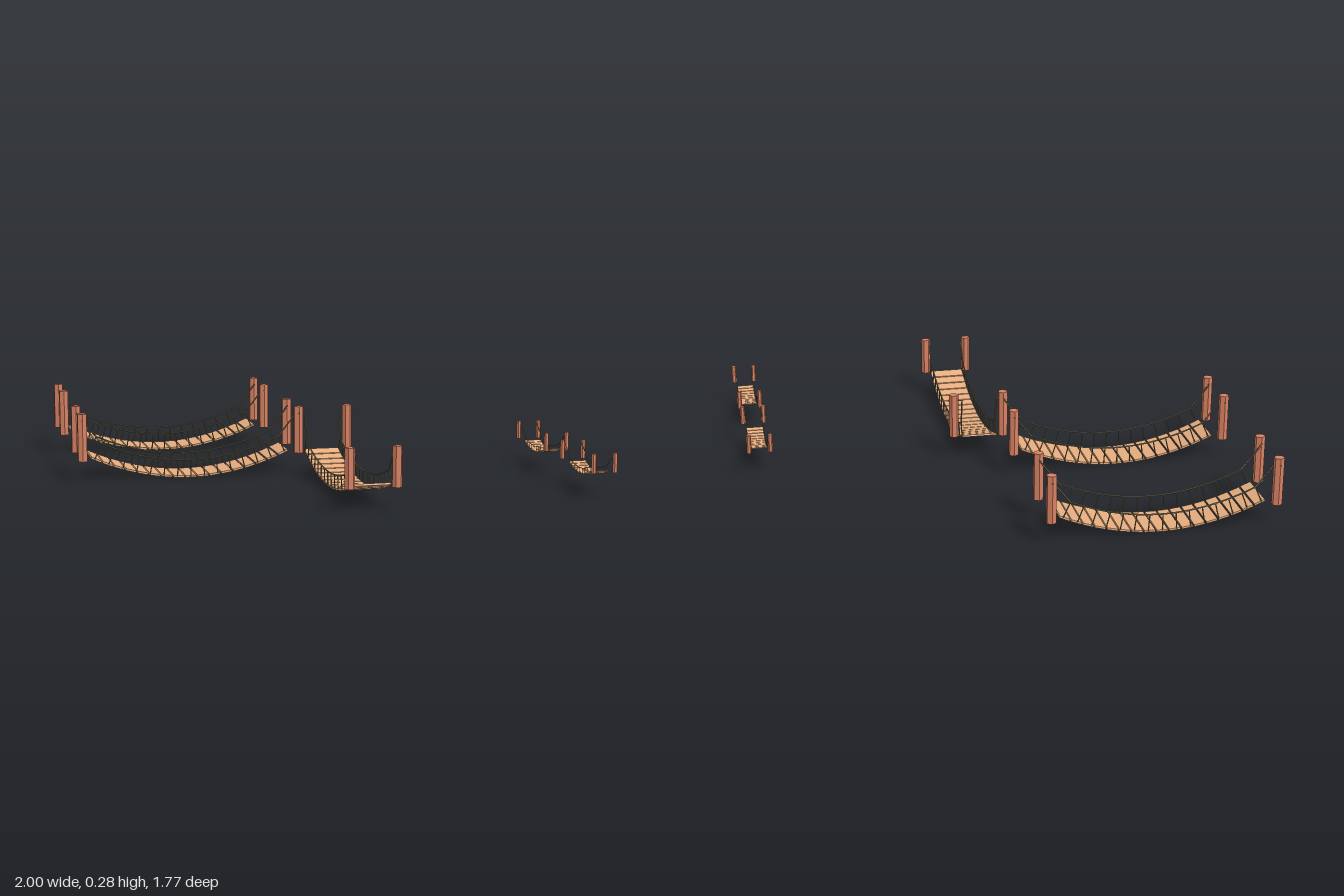
import * as THREE from 'three';

const mat = (name, color) => {
  const m = new THREE.MeshStandardMaterial({ color });
  m.name = name;
  return m;
};
const UP = new THREE.Vector3(0, 1, 0);
const V = (x, y, z) => new THREE.Vector3(x, y, z);

export function createModel() {
  const plankWood = mat('plank wood', 0xe6ad7f);
  const postWood = mat('post wood', 0xd68163);
  const ropeFibre = mat('rope', 0x7c7a58);
  const model = new THREE.Group();
  model.name = 'ropeBridges';

  const add = (parent, name, geometry, material) => {
    const mesh = new THREE.Mesh(geometry, material);
    mesh.name = name;
    parent.add(mesh);
    return mesh;
  };

  // Straight piece of rope between two points
  const strand = (parent, name, a, b, r) => {
    const d = b.clone().sub(a);
    const mesh = add(parent, name, new THREE.CylinderGeometry(r, r, d.length(), 5), ropeFibre);
    mesh.position.copy(a).addScaledVector(d, 0.5);
    mesh.quaternion.setFromUnitVectors(UP, d.normalize());
  };

  // One bridge runs along its local x; its deck sags as a parabola
  function bridge(name, o) {
    const g = new THREE.Group();
    g.name = name;
    g.position.set(o.x, 0, o.z);
    g.rotation.y = o.turn || 0;
    model.add(g);

    const point = (t, z, lift) => {
      const x = t * o.half;
      const slope = (2 * (o.high - o.low) * t) / o.half;
      const n = V(-slope, 1, 0).normalize();
      return V(x, o.low + (o.high - o.low) * t * t, z).addScaledVector(n, lift);
    };
    const sagging = (z, lift, end) => new THREE.CatmullRomCurve3(
      Array.from({ length: 17 }, (_, i) => point((i / 8 - 1) * end, z, lift)));

    // Planks, evenly spaced along the curve
    const deck = sagging(0, 0, 1);
    const pitch = deck.getLength() / o.planks;
    const plank = new THREE.BoxGeometry(pitch * o.fill, o.thick, o.width);
    for (let i = 0; i < o.planks; i++) {
      const u = (i + 0.5) / o.planks;
      const tan = deck.getTangentAt(u);
      const mesh = add(g, 'plank', plank, plankWood);
      mesh.position.copy(deck.getPointAt(u));
      mesh.rotation.z = Math.atan2(tan.y, tan.x);
    }

    // Hand ropes and hangers on both sides
    for (const side of [-1, 1]) {
      const z = side * o.width / 2;
      add(g, 'handRope', new THREE.TubeGeometry(sagging(z, o.rail, 0.96), 32, o.rope, 5), ropeFibre);
      for (let i = 0; i < o.hangers; i++) {
        const t = ((2 * i) / (o.hangers - 1) - 1) * 0.96;
        strand(g, 'hanger', point(t, z, 0), point(t, z, o.rail), o.rope * 0.8);
      }
    }

    // Six-sided posts; a tie passes through each and runs down to the hand rope
    for (const [px, pz, bottom, top, shared] of o.posts) {
      const end = Math.sign(px), side = Math.sign(pz);
      const tieY = top - o.tie;
      if (!shared) {
        const geo = new THREE.CylinderGeometry(o.radius, o.radius, top - bottom, 6).toNonIndexed();
        geo.computeVertexNormals();
        add(g, 'post', geo, postWood).position.set(px, (top + bottom) / 2, pz);
      }
      const corner = V(px, tieY, side * o.width / 2);
      strand(g, 'postTie', V(px, tieY, pz + side * (o.radius + o.rope)), corner, o.rope);
      strand(g, 'endRope', corner, point(end * 0.96, side * o.width / 2, o.rail), o.rope);
    }
  }

  const four = (px, pz, bottom, top) =>
    [[-px, -pz, bottom, top], [px, -pz, bottom, top], [-px, pz, bottom, top], [px, pz, bottom, top]];

  const large = {
    half: 0.412, low: 0.005, high: 0.1, width: 0.176, planks: 17, fill: 0.87, thick: 0.008,
    rail: 0.07, hangers: 15, rope: 0.0032, radius: 0.021, tie: 0.027,
    posts: four(0.448, 0.1125, 0.09, 0.285),
  };
  bridge('backBridge', { ...large, x: -0.531, z: -0.752 });
  bridge('middleBridge', { ...large, x: -0.531, z: -0.066 });

  // Front bridge shares one post with the middle bridge
  bridge('frontBridge', {
    ...large, x: 0.0185, z: 0.4385, turn: -Math.PI / 2,
    half: 0.407, low: 0.025, width: 0.145, rail: 0.055, radius: 0.02,
    posts: [
      [-0.395, 0.1025, 0.09, 0.285, true], [-0.395, -0.1075, 0.1, 0.285],
      [0.43, 0.0955, 0.09, 0.248], [0.43, -0.0895, 0.09, 0.248],
    ],
  });

  // Two small bridges
  const small = {
    half: 0.118, low: 0.078, high: 0.104, width: 0.071, planks: 12, fill: 0.84, thick: 0.004,
    rail: 0.022, hangers: 9, rope: 0.0013, radius: 0.01, tie: 0.012, turn: -Math.PI / 2,
    posts: four(0.167, 0.044, 0.105, 0.182), x: 0.943,
  };
  bridge('smallBackBridge', { ...small, z: 0.177 });
  bridge('smallFrontBridge', { ...small, z: 0.694 });

  return model;
}
